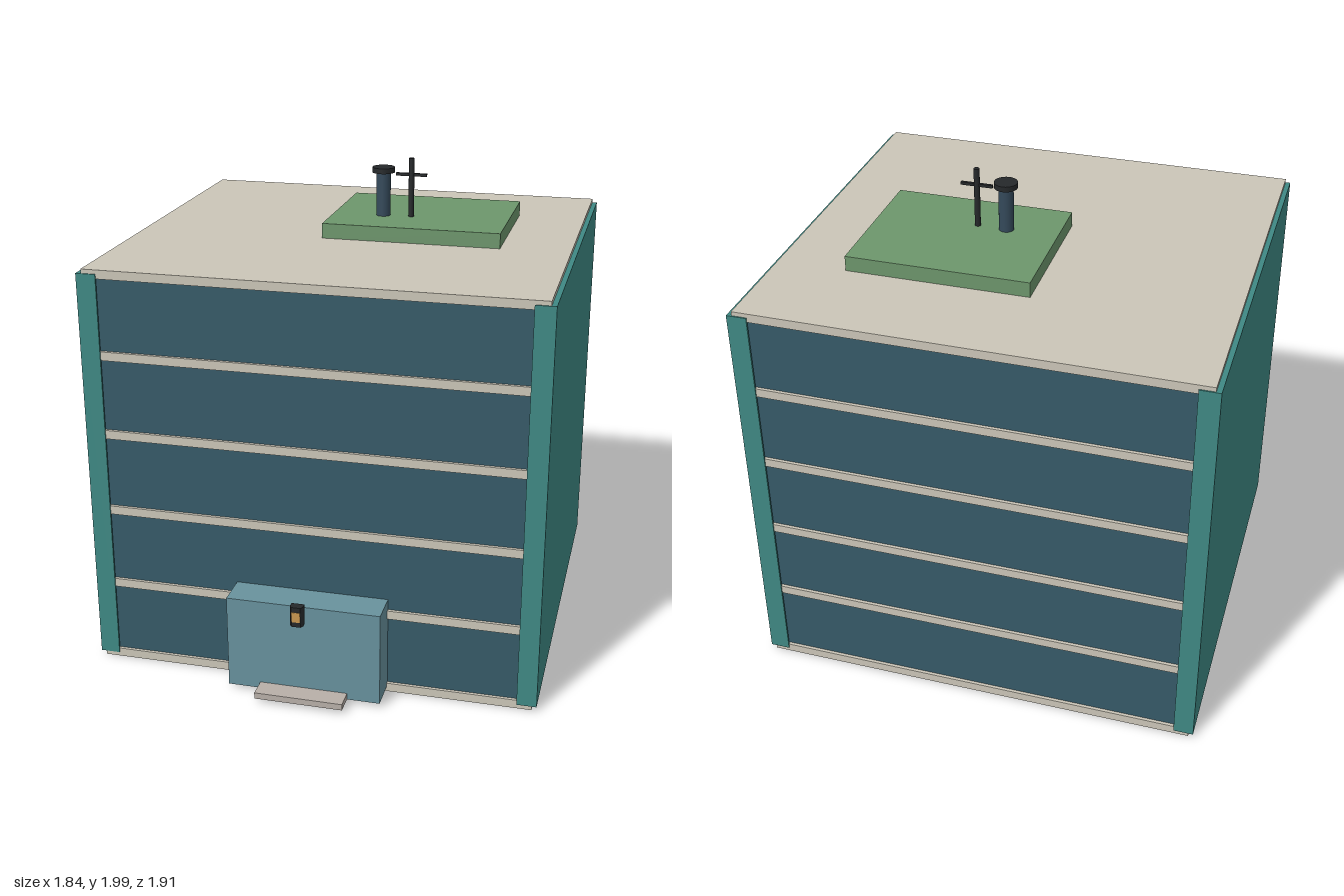
import * as THREE from 'three';

const paint = (color) => new THREE.MeshStandardMaterial({ color });

export function createModel() {
  const model = new THREE.Group();
  model.name = 'officeBlock';

  const concrete = paint(0xcbc6b8), teal = paint(0x3f8984), glass = paint(0x365a68);
  const porchBlue = paint(0x68929d), stone = paint(0xb8afa8), green = paint(0x6d966c);
  const black = paint(0x25282a), steel = paint(0x34495a), amber = paint(0xc9964f);

  function add(name, geometry, material, x, y, z) {
    const mesh = new THREE.Mesh(geometry, material);
    mesh.name = name;
    mesh.position.set(x, y, z);
    model.add(mesh);
    return mesh;
  }
  // Box given by its limits on each axis
  function box(name, material, [x0, x1], [y0, y1], [z0, z1]) {
    return add(name, new THREE.BoxGeometry(x1 - x0, y1 - y0, z1 - z0), material,
      (x0 + x1) / 2, (y0 + y1) / 2, (z0 + z1) / 2);
  }

  // Floor slabs with recessed glazing between them
  const floors = 5, pitch = 0.33, slab = 0.036;
  for (let i = 0; i <= floors; i++) {
    const y = 0.006 + i * pitch;
    box(i === floors ? 'roofSlab' : 'floorSlab', concrete, [-0.9, 0.9], [y, y + slab], [-0.95, 0.735]);
    if (i < floors) box('glazing', glass, [-0.89, 0.89], [y + slab, y + pitch], [-0.937, 0.722]);
  }

  // Side walls wrapping round the corners
  for (const side of [-1, 1]) {
    const wall = new THREE.Shape([
      [0.92, -0.74], [0.84, -0.74], [0.84, -0.732], [0.9, -0.732],
      [0.9, 0.947], [0.84, 0.947], [0.84, 0.955], [0.92, 0.955],
    ].map(([x, y]) => new THREE.Vector2(side * x, y)));
    const geometry = new THREE.ExtrudeGeometry(wall, { depth: 1.65, bevelEnabled: false });
    geometry.rotateX(-Math.PI / 2);
    add(side > 0 ? 'leftWall' : 'rightWall', geometry, teal, 0, 0.025, 0);
  }

  // Entrance porch, step and lamp
  box('porch', porchBlue, [-0.313, 0.313], [0.025, 0.416], [0.71, 0.862]);
  box('entranceStep', stone, [-0.18, 0.18], [0.026, 0.052], [0.83, 0.945]);
  const profile = new THREE.Shape([
    [-0.026, 0.92], [0.026, 0.92], [0.026, 0.943], [0.018, 0.955], [-0.018, 0.955], [-0.026, 0.943],
  ].map(([x, z]) => new THREE.Vector2(x, -z)).reverse());
  const lampBody = new THREE.ExtrudeGeometry(profile, { depth: 0.084, bevelEnabled: false });
  lampBody.rotateX(-Math.PI / 2);
  add('lampHousing', lampBody, black, 0, 0.379, 0);
  box('lampLight', amber, [-0.017, 0.017], [0.4, 0.442], [0.94, 0.957]);

  // Roof pad with chimney and aerial
  box('roofPad', green, [-0.125, 0.615], [1.69, 1.754], [-0.546, 0.054]);
  add('chimney', new THREE.CylinderGeometry(0.03, 0.03, 0.19, 24), steel, 0.087, 1.845, -0.157);
  add('chimneyCap', new THREE.CylinderGeometry(0.047, 0.047, 0.022, 24), black, 0.087, 1.947, -0.157);
  add('aerialMast', new THREE.CylinderGeometry(0.012, 0.012, 0.248, 12), black, 0.206, 1.876, -0.157);
  box('aerialCrossbar', black, [0.141, 0.271], [1.925, 1.937], [-0.163, -0.151]);

  return model;
}
